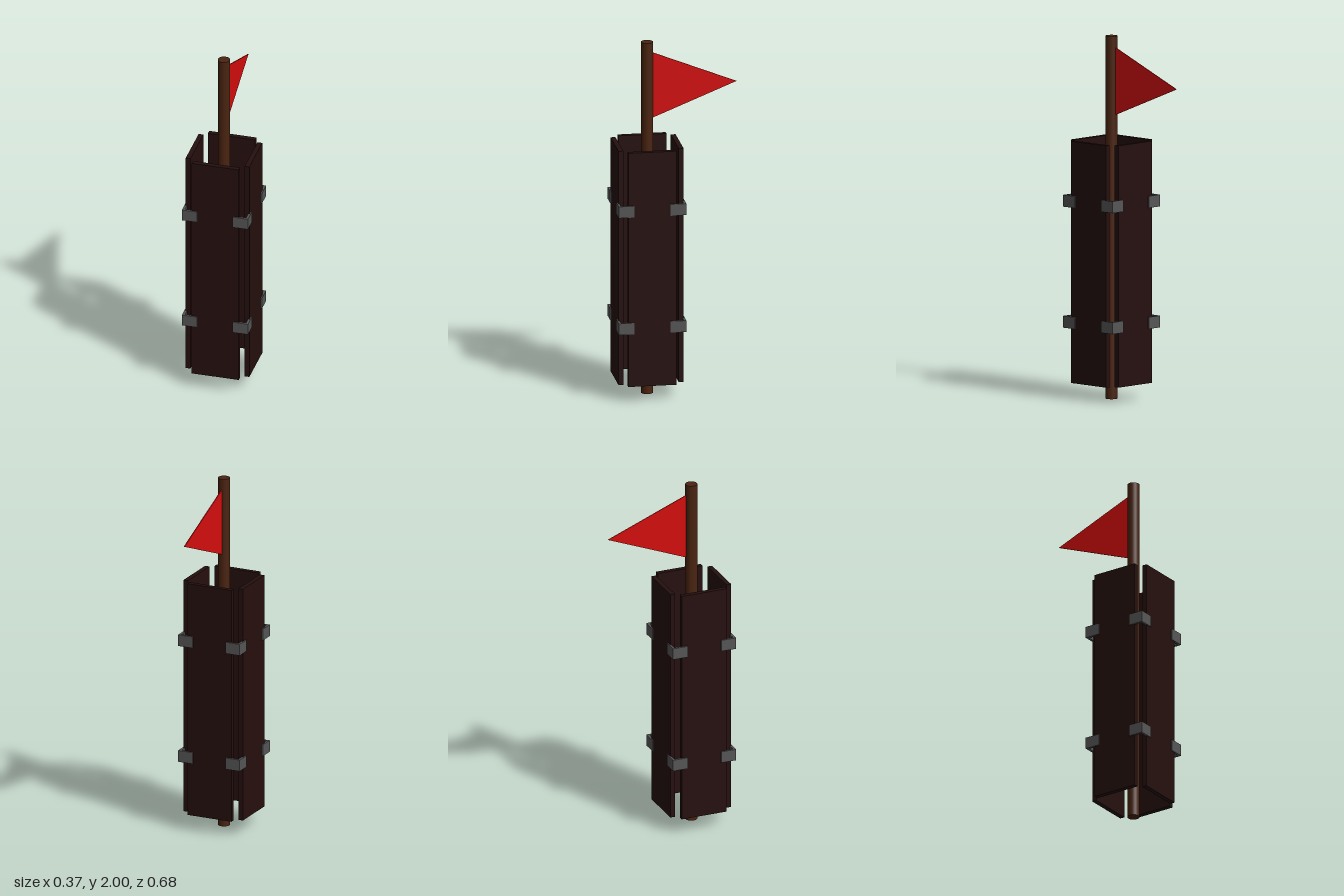
import * as THREE from 'three';

export function createModel() {
  const model = new THREE.Group();
  model.name = 'flagPost';

  const material = (name, color) => {
    const m = new THREE.MeshStandardMaterial({ color });
    m.name = name;
    return m;
  };
  const poleWood = material('poleWood', 0x4a2410);
  const darkWood = material('darkWood', 0x250f0e);
  const iron = material('iron', 0x565656);
  const redCloth = material('redCloth', 0xd60d0d);

  const add = (parent, name, geometry, mat, x, y, z) => {
    const mesh = new THREE.Mesh(geometry, mat);
    mesh.name = name;
    mesh.position.set(x, y, z);
    parent.add(mesh);
    return mesh;
  };

  // Everything is arranged around the pole's axis, forward of the flag
  const post = new THREE.Group();
  post.name = 'post';
  post.position.z = 0.154;
  model.add(post);

  // Round pole
  add(post, 'pole', new THREE.CylinderGeometry(0.033, 0.033, 2, 32), poleWood, 0, 1, 0);

  // L-shaped corner bracket, centred on the pole axis
  const outer = 0.187, inner = 0.173, end = 0.1;
  const bracketShape = new THREE.Shape([
    [end, outer], [end, inner], [inner, inner], [inner, end], [outer, end], [outer, outer],
  ].map(([x, y]) => new THREE.Vector2(x, y)));
  const bracketGeometry = new THREE.ExtrudeGeometry(bracketShape, { depth: 0.065, bevelEnabled: false });
  bracketGeometry.rotateX(-Math.PI / 2);

  // Four sides, each with one board and the brackets of one corner
  const boardGeometry = new THREE.BoxGeometry(0.266, 1.333, 0.027);
  for (const [i, side] of ['front', 'left', 'back', 'right'].entries()) {
    const group = new THREE.Group();
    group.name = side + 'Side';
    group.rotation.y = i * Math.PI / 2;
    post.add(group);
    add(group, side + 'Board', boardGeometry, darkWood, 0, 0.757, 0.1665);
    add(group, 'lowerBracket', bracketGeometry, iron, 0, 0.391, 0);
    add(group, 'upperBracket', bracketGeometry, iron, 0, 1.058, 0);
  }

  // Pennant pointing backwards from the pole
  const pennant = new THREE.Shape([
    new THREE.Vector2(0.03, 1.566),
    new THREE.Vector2(0.494, 1.752),
    new THREE.Vector2(0.03, 1.938),
  ]);
  const flagGeometry = new THREE.ExtrudeGeometry(pennant, { depth: 0.005, bevelEnabled: false });
  flagGeometry.translate(0, 0, -0.0025);
  flagGeometry.rotateY(Math.PI / 2);
  add(post, 'flag', flagGeometry, redCloth, 0, 0, 0);

  return model;
}
